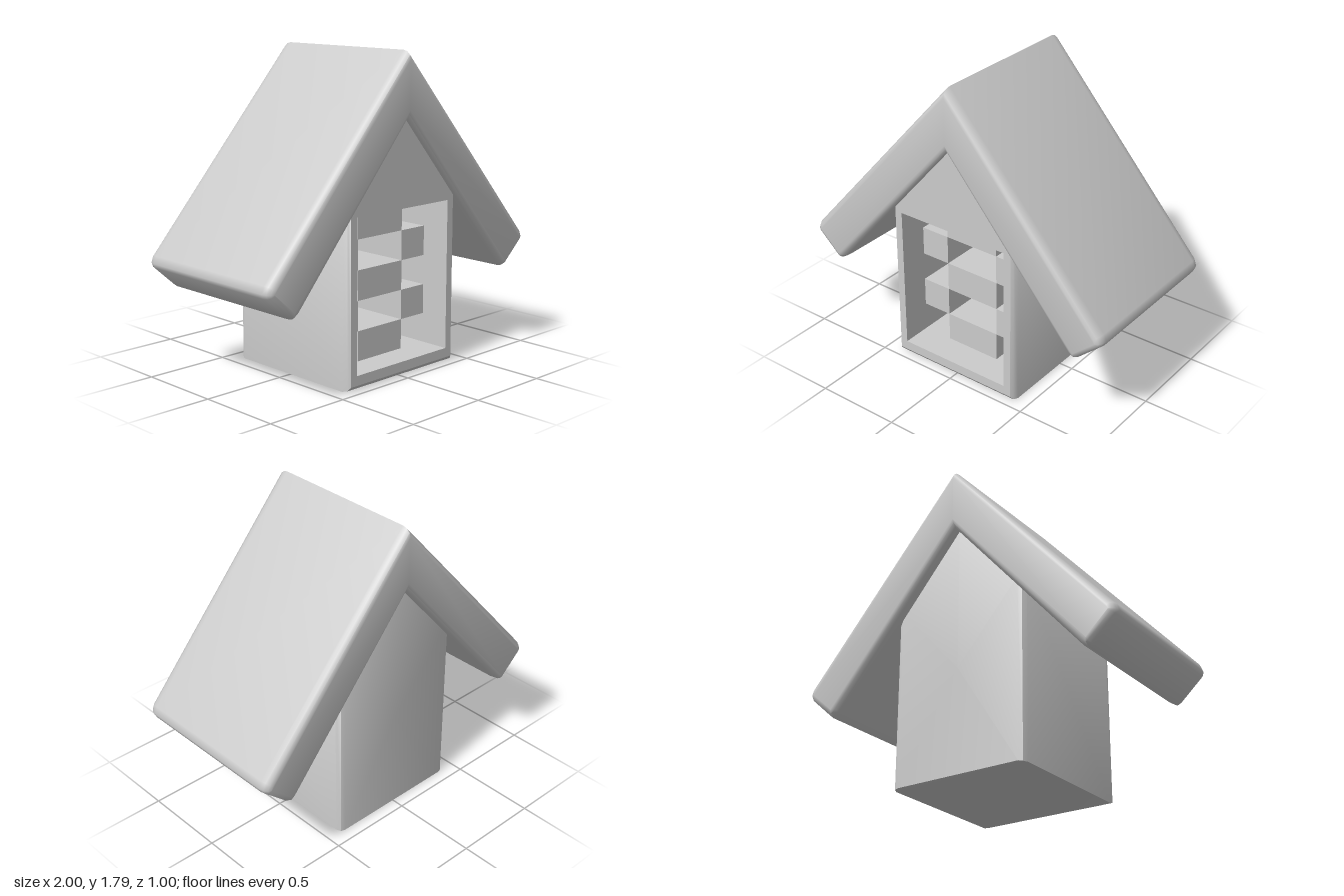
import * as THREE from 'three';
import { toCreasedNormals } from 'three/addons/utils/BufferGeometryUtils.js';

const material = new THREE.MeshStandardMaterial({ color: 0xcccccc });

function addPart(parent, name, geometry) {
  const mesh = new THREE.Mesh(geometry, material);
  mesh.name = name;
  parent.add(mesh);
  return mesh;
}

// Skin through rings of equal point count; a ring shrunk to one point closes an end.
function loft(rings, crease) {
  const pos = [];
  const tri = (a, b, c) => {
    if (a.equals(b) || b.equals(c) || c.equals(a)) return;
    pos.push(...a.toArray(), ...b.toArray(), ...c.toArray());
  };
  for (let r = 0; r < rings.length - 1; r++) {
    const A = rings[r], B = rings[r + 1];
    A.forEach((a, i) => {
      const j = (i + 1) % A.length;
      tri(a, A[j], B[j]);
      tri(a, B[j], B[i]);
    });
  }
  const g = new THREE.BufferGeometry();
  g.setAttribute('position', new THREE.Float32BufferAttribute(pos, 3));
  g.computeVertexNormals();
  return toCreasedNormals(g, crease);
}

const at = (points, z) => points.map(([x, y]) => new THREE.Vector3(x, y, z));
const toVec2 = (points) => points.map(([x, y]) => new THREE.Vector2(x, y));

// Gabled wall outline, inset at the sides and the bottom
function gable(side, bottom) {
  const w = 0.418 - side;
  return [[-w, bottom], [w, bottom], [w, 1.03], [0, 1.52 - side], [-w, 1.03]];
}

// Opening in the front and the niche behind it
const N = { x: 0.355, y0: 0.085, y1: 0.945, front: 0.46, back: -0.33 };
const opening = [[-N.x, N.y0], [N.x, N.y0], [N.x, N.y1], [-N.x, N.y1]];

function addBody(parent) {
  const body = new THREE.Group();
  body.name = 'houseBody';
  parent.add(body);

  // Outer walls with softened front and back edges
  const sections = [
    [-0.43, 0.035, 0.004], [-0.42, 0.012, 0], [-0.39, 0, 0],
    [0.41, 0, 0], [0.445, 0.006, 0.01], [0.46, 0.018, 0.03],
  ];
  const rings = sections.map(([z, side, bottom]) => at(gable(side, bottom), z));
  rings.unshift(rings[0].map(() => new THREE.Vector3(0, 0.6, -0.43)));
  addPart(body, 'outerWalls', loft(rings, 0.75));

  // Flat front frame around the opening
  const frame = new THREE.Shape(toVec2(gable(0.018, 0.03)));
  frame.holes.push(new THREE.Path(toVec2(opening)));
  addPart(body, 'frontFrame', new THREE.ShapeGeometry(frame)).position.z = N.front;

  // Inner faces of the niche
  const middle = opening.map(() => [0, 0.5]);
  addPart(body, 'niche', loft([
    at(opening, N.front), at(opening, N.back), at(middle, N.back),
  ], 0.3));

  // Chequered blocks inside the niche
  const rows = 5, cols = [-N.x, -0.175, 0.17, N.x];
  const h = (N.y1 - N.y0) / rows, blockFront = 0.285;
  for (let row = 0; row < rows; row++) {
    for (let col = 0; col < 3; col++) {
      if ((row + col) % 2 === 0) continue;
      const block = addPart(body, 'nicheBlock',
        new THREE.BoxGeometry(cols[col + 1] - cols[col], h, blockFront - N.back));
      block.position.set((cols[col] + cols[col + 1]) / 2, N.y0 + h * (row + 0.5), (blockFront + N.back) / 2);
    }
  }
}

function addRoof(parent) {
  // Right half of the chevron: underside up to the eave end and the slope
  const half = [[0.79, 0.515], [0.825, 0.49], [0.85, 0.5], [0.99, 0.625], [1, 0.65], [0.985, 0.69]];
  const mirrored = half.map(([x, y]) => [-x, y]).reverse();
  const outline = [[0, 1.43], ...half, [0, 1.795], ...mirrored];
  const bevel = 0.035, thick = 0.055;
  const g = new THREE.ExtrudeGeometry(new THREE.Shape(toVec2(outline)), {
    depth: 1 - 2 * thick, bevelEnabled: true, bevelSize: bevel, bevelOffset: -bevel,
    bevelThickness: thick, bevelSegments: 3,
  });
  g.translate(0, 0, thick - 0.5);
  addPart(parent, 'roof', toCreasedNormals(g, 0.8));
}

export function createModel() {
  const house = new THREE.Group();
  house.name = 'house';
  addBody(house);
  addRoof(house);
  return house;
}
